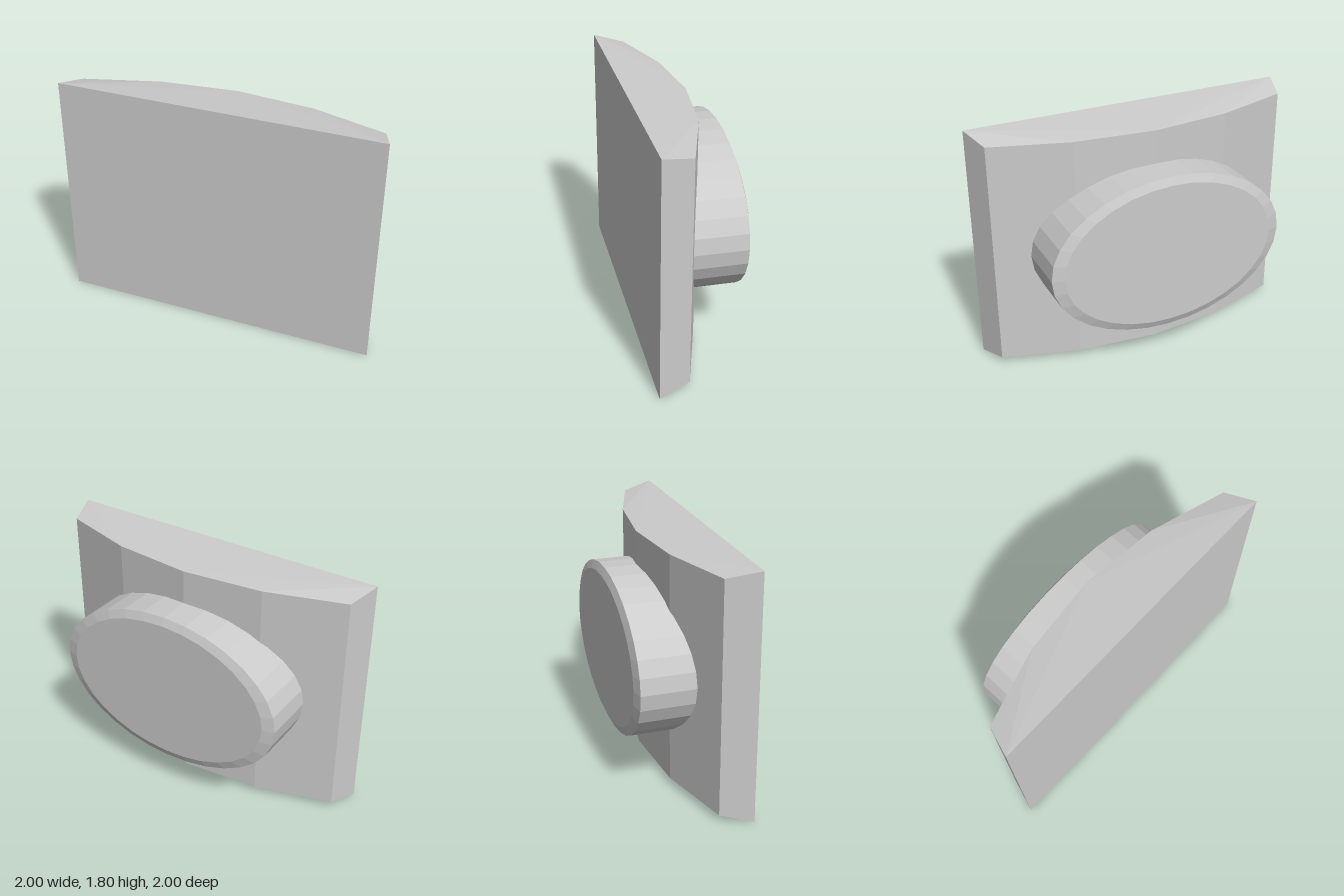
import * as THREE from 'three';
import { ConvexGeometry } from 'three/addons/geometries/ConvexGeometry.js';

const material = new THREE.MeshStandardMaterial({ color: 0xcccccc, flatShading: true });

function addPart(parent, name, geometry) {
  const mesh = new THREE.Mesh(geometry, material);
  mesh.name = name;
  parent.add(mesh);
  return mesh;
}

export function createModel() {
  const model = new THREE.Group();
  model.name = 'wallButton';

  // Everything is built facing local -z, then turned diagonally
  const body = new THREE.Group();
  body.name = 'body';
  body.rotation.y = -Math.PI / 4;
  model.add(body);

  // Mounting plate: flat full-height face, bowed face with bevelled edges
  const outline = [
    // along, depth, inset from top and bottom
    [0, -0.276, 0.05],
    [0.588, -0.214, 0.05],
    [1.15, -0.042, 0.05],
    [1.226, 0.187, 0],
  ];
  const corners = [];
  for (const [x, z, inset] of outline) {
    for (const side of x === 0 ? [1] : [-1, 1]) {
      for (const y of [inset, 1.8 - inset]) corners.push(new THREE.Vector3(side * x, y, z));
    }
  }
  addPart(body, 'plate', new ConvexGeometry(corners));

  // Oval push button with a narrow chamfered rim
  const profile = [[0, 0], [0.6, 0], [0.6, 0.512], [0.542, 0.537], [0, 0.537]]
    .map(([r, h]) => new THREE.Vector2(r, h));
  let button = new THREE.LatheGeometry(profile, 32);
  button.rotateX(-Math.PI / 2);
  button.scale(1.5, 1, 1);
  button = button.toNonIndexed();
  button.computeVertexNormals();
  addPart(body, 'button', button).position.y = 0.9;

  return model;
}
